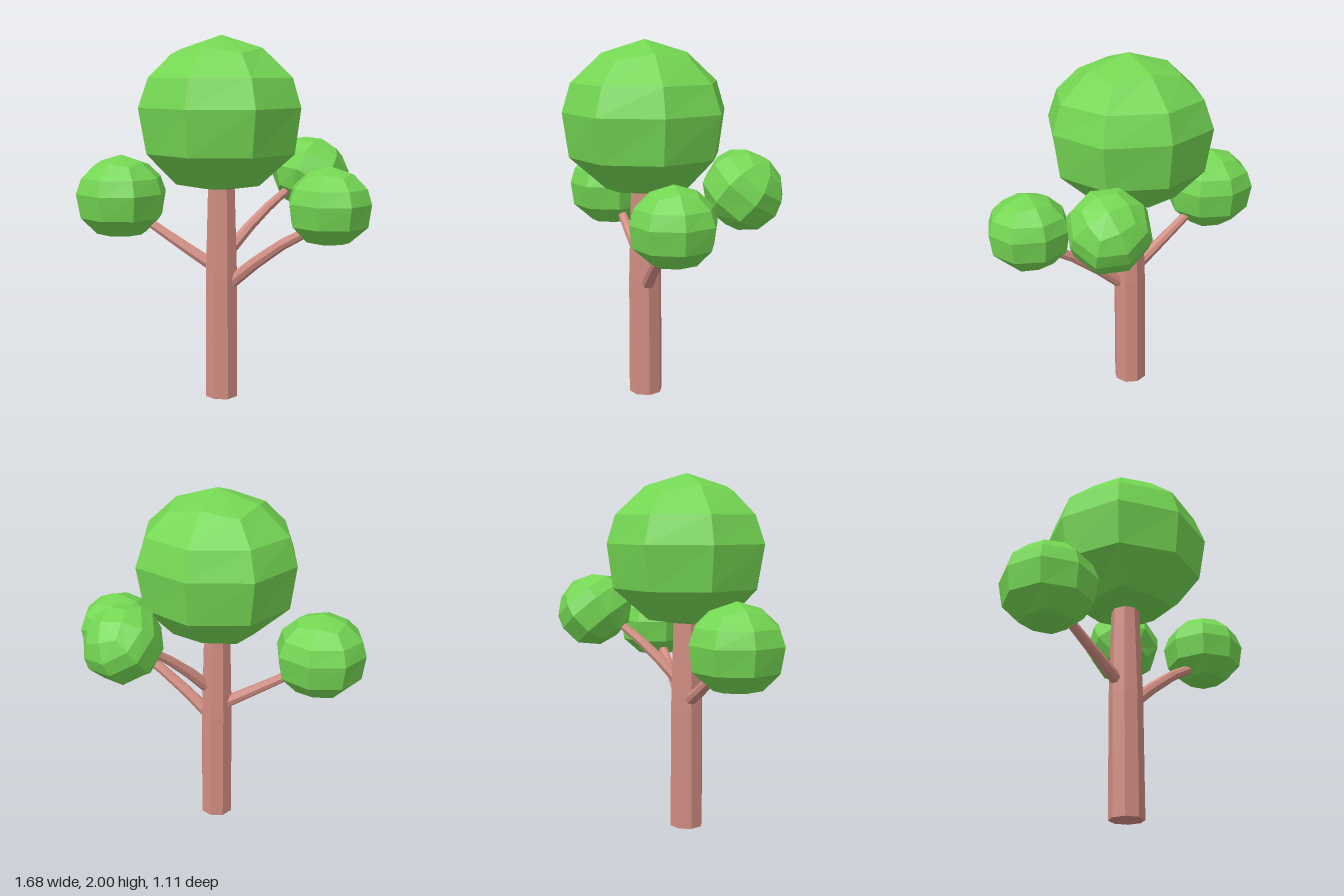
import * as THREE from 'three';

const UP = new THREE.Vector3(0, 1, 0);

// Leaf ball: rings of eight corners between two poles.
// Each ring: height on the axes, height on the diagonals, radius on the axes, x = z on the diagonals.
function ballGeometry() {
  const rings = [
    [-0.385, -0.375, 0.22, 0.185],
    [-0.207, -0.207, 0.42, 0.3],
    [0.035, 0.035, 0.453, 0.33],
    [0.19, 0.19, 0.405, 0.29],
    [0.345, 0.312, 0.235, 0.2],
  ];
  const pos = [0, -0.419, 0];
  for (const [ya, yd, a, d] of rings) {
    for (let i = 0; i < 8; i++) {
      const diagonal = i % 2 === 1;
      const r = diagonal ? d * Math.SQRT2 : a;
      const t = (i * Math.PI) / 4;
      pos.push(r * Math.sin(t), diagonal ? yd : ya, r * Math.cos(t));
    }
  }
  pos.push(0, 0.415, 0);
  const top = rings.length * 8 + 1;
  const index = [];
  for (let i = 0; i < 8; i++) {
    const j = (i + 1) % 8;
    index.push(0, 1 + j, 1 + i);
    for (let k = 0; k < rings.length - 1; k++) {
      const a = 1 + k * 8 + i, b = 1 + k * 8 + j;
      index.push(a, b, b + 8, a, b + 8, a + 8);
    }
    index.push(top - 8 + i, top - 8 + j, top);
  }
  const g = new THREE.BufferGeometry();
  g.setAttribute('position', new THREE.Float32BufferAttribute(pos, 3));
  g.setIndex(index);
  const flat = g.toNonIndexed();
  flat.computeVertexNormals();
  return flat;
}

// Tapered branch: a capped cylinder bent along a curve.
function branchGeometry(points, r0, r1) {
  const curve = new THREE.CatmullRomCurve3(points.map((p) => new THREE.Vector3(...p)));
  const g = new THREE.CylinderGeometry(1, 1, 1, 8, 3);
  const p = g.attributes.position;
  const v = new THREE.Vector3();
  const q = new THREE.Quaternion();
  for (let i = 0; i < p.count; i++) {
    const t = THREE.MathUtils.clamp(p.getY(i) + 0.5, 0, 1);
    const r = THREE.MathUtils.lerp(r0, r1, t);
    q.setFromUnitVectors(UP, curve.getTangentAt(t));
    v.set(p.getX(i) * r, 0, p.getZ(i) * r).applyQuaternion(q).add(curve.getPointAt(t));
    p.setXYZ(i, v.x, v.y, v.z);
  }
  const flat = g.toNonIndexed();
  flat.computeVertexNormals();
  return flat;
}

export function createModel() {
  const leaf = new THREE.MeshStandardMaterial({ color: 0x74d653 });
  leaf.name = 'leaf green';
  const bark = new THREE.MeshStandardMaterial({ color: 0xd18d82 });
  bark.name = 'bark pink';

  const tree = new THREE.Group();
  tree.name = 'tree';
  const add = (name, geometry, material) => {
    const mesh = new THREE.Mesh(geometry, material);
    mesh.name = name;
    tree.add(mesh);
    return mesh;
  };

  // Trunk: straight below, narrowing towards the crown
  const trunk = new THREE.CylinderGeometry(0.078, 0.095, 1.19, 8, 2);
  const tp = trunk.attributes.position;
  for (let i = 0; i < tp.count; i++) {
    if (Math.abs(tp.getY(i)) < 0.01) {
      const s = 0.093 / Math.hypot(tp.getX(i), tp.getZ(i) || 0);
      if (Number.isFinite(s)) tp.setXYZ(i, tp.getX(i) * s, 0.08, tp.getZ(i) * s);
    }
  }
  const trunkFlat = trunk.toNonIndexed();
  trunkFlat.computeVertexNormals();
  add('trunk', trunkFlat, bark).position.set(0, 0.595, 0.1);

  // Branches
  const branches = [
    ['leftBranch', [[0.05, 0.65, 0.1], [0.28, 0.84, 0.1], [0.42, 0.93, 0.1], [0.52, 0.985, 0.1]], 0.037, 0.026],
    ['rightBranch', [[-0.04, 0.735, 0.1], [-0.24, 0.855, 0.125], [-0.45, 0.985, 0.15]], 0.036, 0.025],
    ['backBranch', [[0.05, 0.85, 0.06], [0.155, 1.01, -0.07], [0.27, 1.145, -0.21]], 0.036, 0.024],
  ];
  for (const [name, points, r0, r1] of branches) add(name, branchGeometry(points, r0, r1), bark);

  // Leaf balls: one crown and one at the end of each branch
  const ball = ballGeometry();
  const balls = [
    ['crown', [0, 1.585, 0.097], 1],
    ['leftLeafBall', [0.615, 1.118, 0.098], 0.497],
    ['rightLeafBall', [-0.585, 1.114, 0.173], 0.56],
    ['backLeafBall', [0.365, 1.237, -0.35], 0.485],
  ];
  for (const [name, position, scale] of balls) {
    const mesh = add(name, ball, leaf);
    mesh.position.set(...position);
    mesh.scale.setScalar(scale);
    if (name === 'backLeafBall') {
      mesh.quaternion.setFromUnitVectors(UP, new THREE.Vector3(0.3, 0.75, -0.55).normalize());
    }
  }
  return tree;
}
